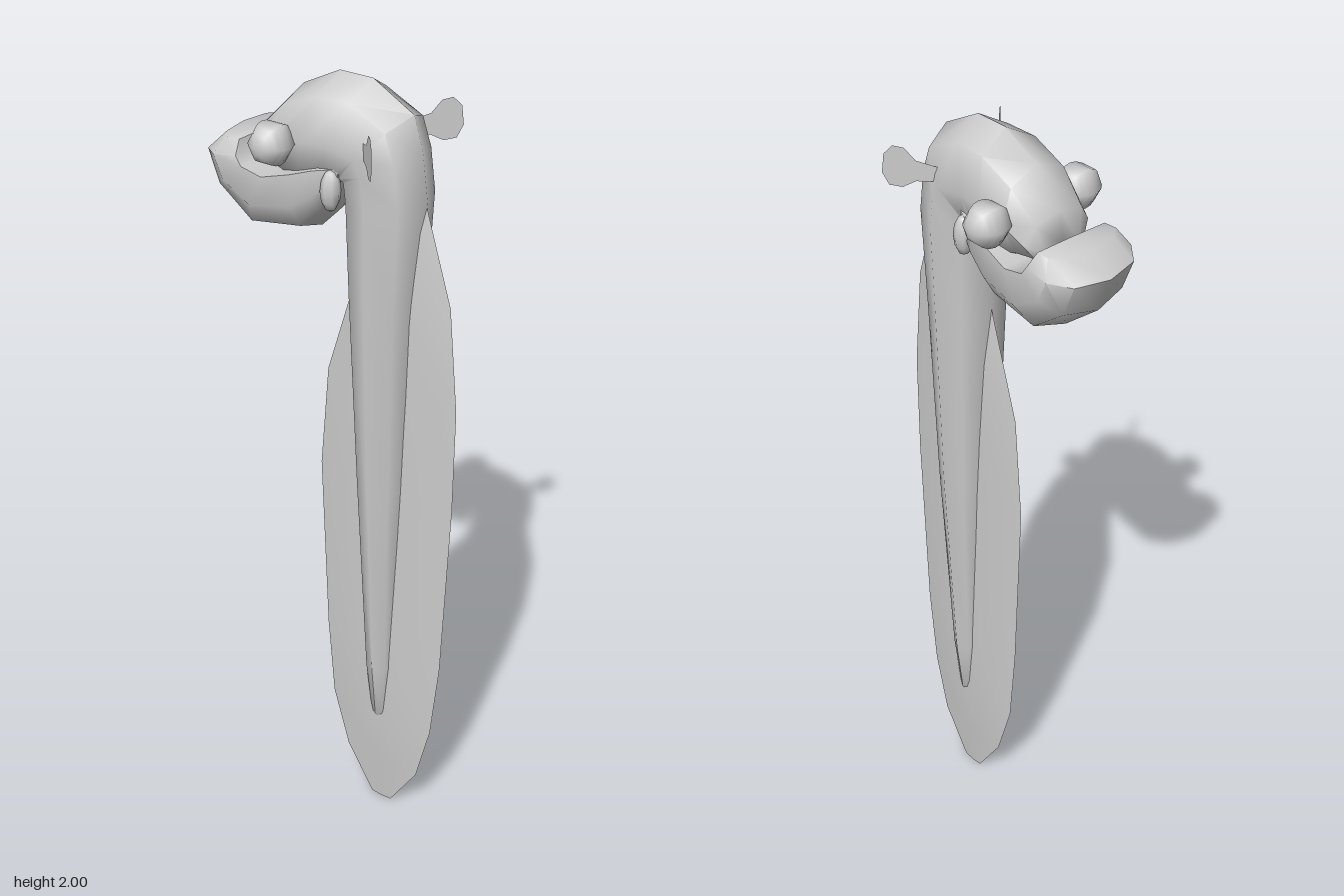
import * as THREE from 'three';
import { toCreasedNormals } from 'three/addons/utils/BufferGeometryUtils.js';

// Ring patterns: [along the upper/back side, sideways]
const ROUND = [...Array(8)].map((_, i) => [Math.cos(i * Math.PI / 4), Math.sin(i * Math.PI / 4)]);
const SCOOP = [[1, 0], [0.95, 0.98], [0, 1], [-0.7, 0.7], [-1, 0], [-0.7, -0.7], [0, -1], [0.95, -0.98]];
const BLADE = [[1, 0], [0, 1], [-1, 0], [0, -1]];

// Skin over sections [ax, ay, bx, by, halfWidth]; a is the back/top edge, b the front/bottom edge
function loft(sections, pattern, crease = 0.95) {
  const pos = [], index = [], n = pattern.length;
  for (const [ax, ay, bx, by, w] of sections) {
    for (const [u, s] of pattern) {
      pos.push((ax + bx) / 2 + u * (ax - bx) / 2, (ay + by) / 2 + u * (ay - by) / 2, s * w);
    }
  }
  const last = sections.length - 1;
  for (let i = 0; i < last; i++) {
    for (let j = 0; j < n; j++) {
      const k = (j + 1) % n, a = i * n + j, b = i * n + k;
      index.push(a, b + n, b, a, a + n, b + n);
    }
  }
  // End caps
  for (let j = 1; j < n - 1; j++) {
    index.push(0, j, j + 1, last * n, last * n + j + 1, last * n + j);
  }
  const g = new THREE.BufferGeometry();
  g.setAttribute('position', new THREE.Float32BufferAttribute(pos, 3));
  g.setIndex(index);
  return toCreasedNormals(g, crease);
}

export function createModel() {
  const model = new THREE.Group();
  const skin = new THREE.MeshStandardMaterial({ color: 0xcccccc, side: THREE.DoubleSide });
  skin.name = 'grey skin';
  const add = (name, geometry) => {
    const mesh = new THREE.Mesh(geometry, skin);
    mesh.name = name;
    model.add(mesh);
    return mesh;
  };

  // Long tapering body, bending over into the upper head
  add('bodyAndHead', loft([
    [0.15, 0.26, 0.13, 0.27, 0.012],
    [0.165, 0.30, 0.115, 0.30, 0.033],
    [0.18, 0.45, 0.10, 0.45, 0.05],
    [0.205, 1.0, 0.075, 1.0, 0.08],
    [0.225, 1.5, 0.05, 1.5, 0.096],
    [0.24, 1.75, 0.04, 1.72, 0.102],
    [0.225, 1.86, 0.035, 1.76, 0.102],
    [0.20, 1.94, 0.02, 1.75, 0.102],
    [0.09, 2.0, -0.02, 1.72, 0.102],
    [0.0, 2.0, -0.07, 1.71, 0.108],
    [-0.10, 1.95, -0.12, 1.74, 0.108],
    [-0.175, 1.87, -0.15, 1.755, 0.095],
    [-0.187, 1.79, -0.165, 1.76, 0.07],
  ], ROUND));

  // Broad scooped lower jaw with an upturned front
  add('lowerJaw', loft([
    [0.06, 1.81, 0.04, 1.73, 0.085],
    [0.0, 1.80, 0.0, 1.67, 0.105],
    [-0.06, 1.78, -0.05, 1.62, 0.115],
    [-0.13, 1.76, -0.20, 1.60, 0.124],
    [-0.185, 1.77, -0.30, 1.68, 0.125],
    [-0.20, 1.79, -0.335, 1.77, 0.125],
    [-0.21, 1.82, -0.28, 1.82, 0.10],
  ], SCOOP));

  // Thin wedge fin running around the whole body: [y, front x, back x, half thickness]
  add('ribbonFin', loft([
    [0, 0.11, 0.17, 0.002], [0.125, 0.03, 0.25, 0.014], [0.285, -0.018, 0.29, 0.028],
    [0.5, -0.037, 0.313, 0.03], [0.98, -0.057, 0.333, 0.03], [1.25, -0.035, 0.335, 0.03],
    [1.51, 0.045, 0.31, 0.03], [1.79, 0.13, 0.222, 0.02],
  ].map(([y, f, b, t]) => [b, y, f, y, t]), BLADE, 0.5));

  // Paddle outline of a side fin
  const paddle = new THREE.Shape([
    [-0.02, 1.85], [0.03, 1.85], [0.06, 1.835], [0.09, 1.84], [0.105, 1.87],
    [0.1, 1.915], [0.08, 1.935], [0.055, 1.93], [0.03, 1.90], [-0.02, 1.885],
  ].map(([x, y]) => new THREE.Vector2(x, y)));

  for (const side of [1, -1]) {
    const label = side > 0 ? 'left' : 'right';

    // Bulging eye
    const eye = add(label + 'Eye', new THREE.SphereGeometry(0.053, 6, 10));
    eye.rotation.set(Math.PI / 2, 0, 0);
    eye.position.set(-0.09, 1.85, side * 0.132);

    // Swept-back side fin
    const fin = add(label + 'SideFin', new THREE.ShapeGeometry(paddle));
    fin.position.set(0.14, 0, side * 0.1);
    fin.rotation.y = -side * Math.PI / 4;

    // Gill lobe where the jaw meets the body
    const gill = add(label + 'Gill', new THREE.SphereGeometry(1, 8, 6));
    gill.scale.set(0.024, 0.05, 0.025);
    gill.position.set(0.04, 1.755, side * 0.088);
  }
  return model;
}
